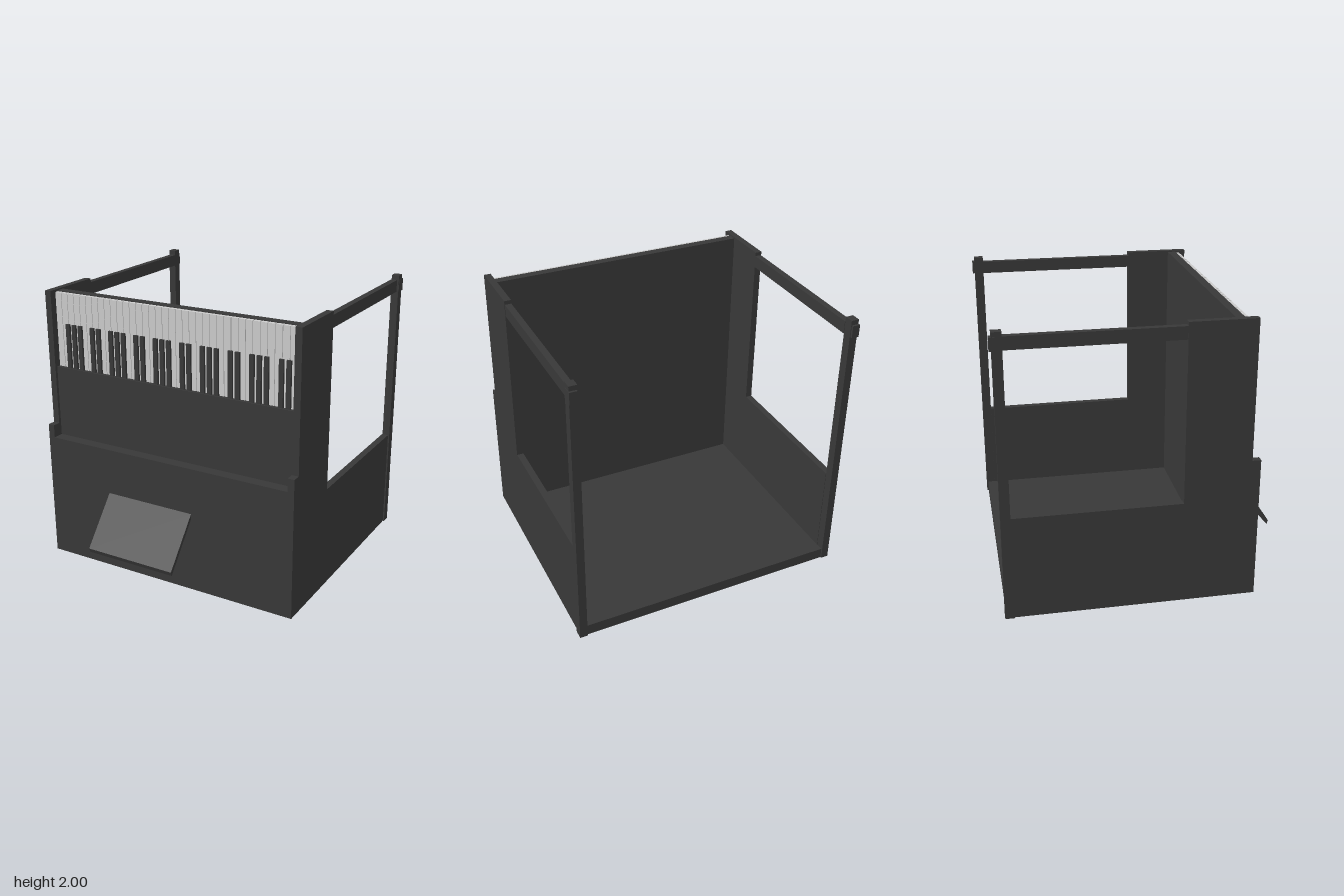
import * as THREE from 'three';

const body = new THREE.MeshStandardMaterial({ color: 0x383838 });
body.name = 'charcoal';
const ivory = new THREE.MeshStandardMaterial({ color: 0xcccccc });
ivory.name = 'ivory';

// Box given by its limits on each axis
function block(parent, name, mat, [x0, x1], [y0, y1], [z0, z1]) {
  const mesh = new THREE.Mesh(new THREE.BoxGeometry(x1 - x0, y1 - y0, z1 - z0), mat);
  mesh.position.set((x0 + x1) / 2, (y0 + y1) / 2, (z0 + z1) / 2);
  mesh.name = name;
  parent.add(mesh);
}

// Slab with a (z, y) outline, spanning x0 to x1
function slab(parent, name, outline, x0, x1) {
  const shape = new THREE.Shape(outline.map(([z, y]) => new THREE.Vector2(z, y)));
  const geo = new THREE.ExtrudeGeometry(shape, { depth: x1 - x0, bevelEnabled: false });
  geo.rotateY(-Math.PI / 2).translate(x1, 0, 0);
  const mesh = new THREE.Mesh(geo, body);
  mesh.name = name;
  parent.add(mesh);
}

export function createModel() {
  const root = new THREE.Group();
  root.name = 'keyboardBooth';
  const booth = new THREE.Group();
  booth.name = 'booth';
  root.add(booth);

  // Floor and front
  block(booth, 'floor', body, [-0.95, 0.95], [0, 0.08], [-0.975, 0.6]);
  block(booth, 'frontWall', body, [-0.94, 0.94], [0.08, 1.973], [0.54, 0.6]);
  block(booth, 'lowerFront', body, [-0.94, 0.94], [0, 0.917], [0.6, 0.735]);
  block(booth, 'upperPanel', body, [-0.94, 0.94], [0.917, 1.433], [0.6, 0.655]);

  // Side walls, window rails and back posts
  const profile = [[-0.92, 0], [0.735, 0], [0.735, 1.01], [0.675, 1.01],
    [0.675, 1.982], [0.22, 1.982], [0.22, 0.738], [-0.92, 0.738]];
  for (const [side, s] of [['left', 1], ['right', -1]]) {
    const span = (a, b) => (s > 0 ? [a, b] : [-b, -a]);
    slab(booth, side + 'Wall', profile, ...span(0.937, 0.985));
    block(booth, side + 'Rail', body, span(0.937, 0.982), [1.868, 1.955], [-0.92, 0.22]);
    block(booth, side + 'Post', body, span(0.94, 0.995), [0, 1.988], [-0.985, -0.92]);
    block(booth, side + 'PostCap', body, span(0.945, 0.998), [1.868, 1.955], [-1, -0.925]);
  }

  // Keyboard standing upright: 36 white keys, black keys in threes and twos
  const keyboard = new THREE.Group();
  keyboard.name = 'keyboard';
  booth.add(keyboard);
  const count = 36, left = -0.935, pitch = 1.87 / count;
  for (let i = 0; i < count; i++) {
    const x = left + i * pitch;
    block(keyboard, 'whiteKey', ivory, [x + 0.002, x + pitch - 0.002], [1.433, 1.967], [0.6, 0.628]);
    if (i >= 2 && i % 7 !== 1 && i % 7 !== 5) {
      block(keyboard, 'blackKey', body, [x - 0.016, x + 0.016], [1.433, 1.751], [0.62, 0.645]);
    }
  }

  // Sloping shelf on the front
  slab(booth, 'slopingShelf', [[0.735, 0.545], [0.99, 0.232], [1, 0.262], [0.735, 0.583]], -0.467, 0.215);

  // The whole booth leans very slightly
  booth.rotation.z = 0.006;
  booth.position.set(0.006, 0.006, 0);
  return root;
}
